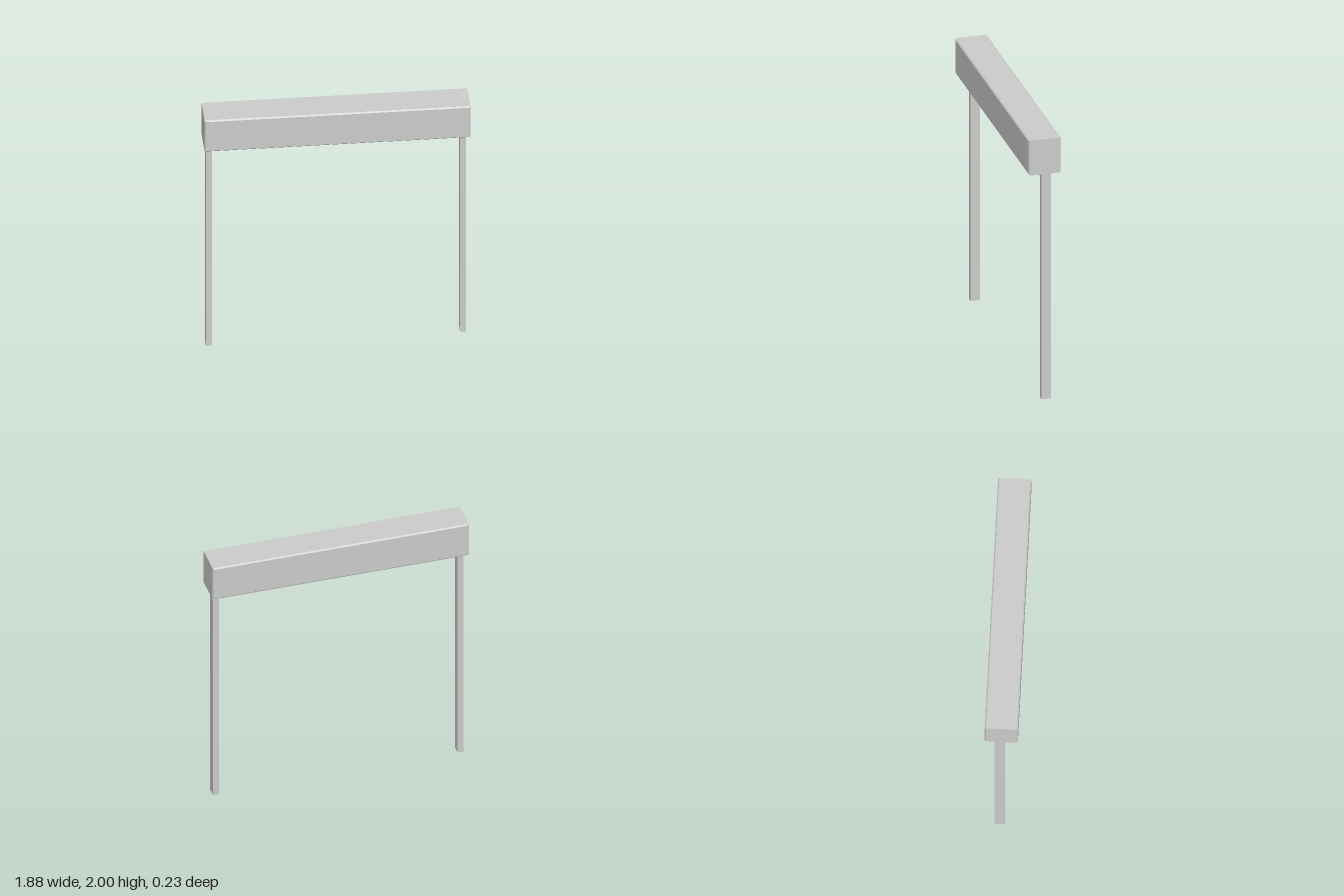
import * as THREE from 'three';

const material = new THREE.MeshStandardMaterial({ color: 0xcccccc, flatShading: true });

function addBox(group, name, size, position) {
  const mesh = new THREE.Mesh(new THREE.BoxGeometry(...size), material);
  mesh.name = name;
  mesh.position.set(...position);
  group.add(mesh);
}

// Box with one flat chamfer along every edge
function chamferedBox(w, h, d, c) {
  const x = w / 2 - c, y = h / 2 - c;
  const shape = new THREE.Shape([
    new THREE.Vector2(-x, -y), new THREE.Vector2(x, -y),
    new THREE.Vector2(x, y), new THREE.Vector2(-x, y),
  ]);
  const geometry = new THREE.ExtrudeGeometry(shape, {
    depth: d - 2 * c, bevelEnabled: true, bevelSize: c, bevelThickness: c, bevelSegments: 1,
  });
  return geometry.center();
}

export function createModel() {
  const model = new THREE.Group();
  model.name = 'postFrame';

  // Long header housing across the top
  const header = new THREE.Mesh(chamferedBox(1.876, 0.267, 0.234, 0.009), material);
  header.name = 'headerHousing';
  header.position.y = 1.8665;
  model.add(header);

  // Two slim posts, set slightly behind the centre line
  for (const side of [-1, 1]) {
    addBox(model, side > 0 ? 'leftPost' : 'rightPost',
      [0.043, 1.735, 0.07], [side * 0.897 - 0.002, 0.8675, -0.015]);
  }

  // Bottom bar hanging just under the header
  addBox(model, 'bottomBar', [1.7, 0.045, 0.044], [-0.002, 1.6995, -0.015]);

  return model;
}
